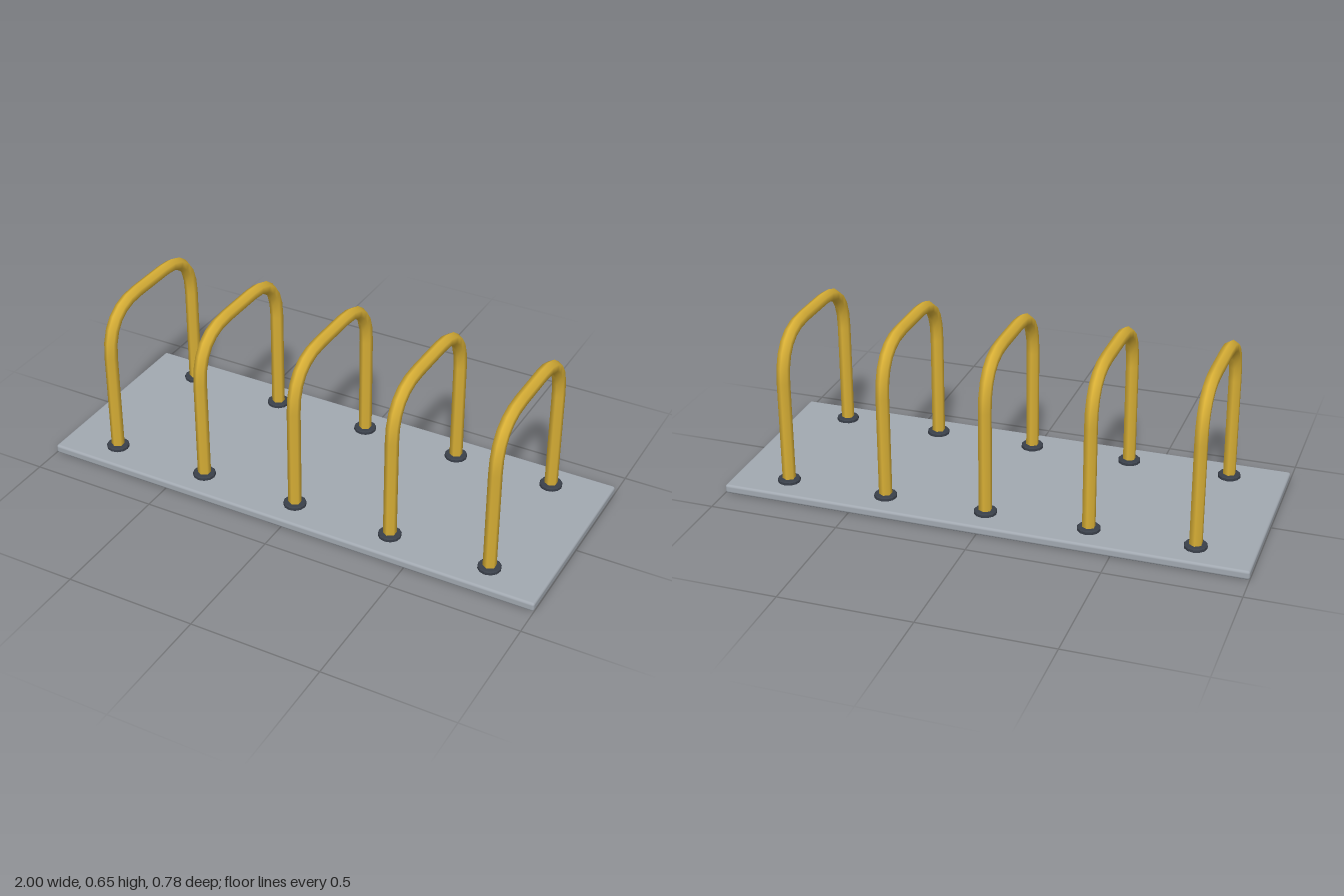
import * as THREE from 'three';
import { RoundedBoxGeometry } from 'three/addons/geometries/RoundedBoxGeometry.js';

// Upside-down U: straight legs joined by two quadratic bends, with rings exactly on the knots
class HoopCurve extends THREE.Curve {
  constructor() {
    super();
    const v = (y, z) => new THREE.Vector3(0, y, z);
    const bend = new THREE.QuadraticBezierCurve3(v(0.44, 0.28), v(0.628, 0.28), v(0.628, 0.09));
    const half = [v(0.035, 0.28)], dirs = [v(1, 0)];
    for (let i = 0; i <= 6; i++) {
      half.push(bend.getPoint(i / 6));
      dirs.push(bend.getTangent(i / 6));
    }
    this.knots = [...half, ...half.map((p) => v(p.y, -p.z)).reverse()];
    this.dirs = [...dirs, ...dirs.map((d) => v(-d.y, d.z)).reverse()];
  }
  get segments() { return this.knots.length - 1; }
  getPoint(t, target = new THREE.Vector3()) {
    const f = t * this.segments;
    const i = Math.min(Math.floor(f + 1e-6), this.segments - 1);
    return target.lerpVectors(this.knots[i], this.knots[i + 1], f - i);
  }
  getPointAt(u, target) { return this.getPoint(u, target); }
  getTangentAt(u, target = new THREE.Vector3()) {
    return target.copy(this.dirs[Math.round(u * this.segments)]);
  }
}

export function createModel() {
  const group = new THREE.Group();
  const steel = new THREE.MeshStandardMaterial({ color: 0xa2a9b1 });
  steel.name = 'grey base';
  const yellow = new THREE.MeshStandardMaterial({ color: 0xd9b036 });
  yellow.name = 'yellow paint';
  const dark = new THREE.MeshStandardMaterial({ color: 0x3a404a });
  dark.name = 'dark flange';

  const add = (name, geometry, material, x, y, z) => {
    const mesh = new THREE.Mesh(geometry, material);
    mesh.name = name;
    mesh.position.set(x, y, z);
    group.add(mesh);
  };

  // Ground plate with softened edges
  add('basePlate', new RoundedBoxGeometry(2, 0.035, 0.78, 2, 0.01), steel, 0, 0.0175, 0);

  // Six-sided tube hoop and bevelled foot flange, shared by all bays
  const curve = new HoopCurve();
  const hoop = new THREE.TubeGeometry(curve, curve.segments, 0.025, 6, false);
  const profile = [[0.043, 0], [0.043, 0.01], [0.039, 0.014], [0, 0.014]]
    .map(([r, y]) => new THREE.Vector2(r, y));
  const flange = new THREE.LatheGeometry(profile, 12).toNonIndexed();
  flange.computeVertexNormals();

  for (let i = -2; i <= 2; i++) {
    const x = i * 0.392;
    add('hoop', hoop, yellow, x, 0, 0);
    for (const z of [-0.28, 0.28]) add('footFlange', flange, dark, x, 0.035, z);
  }
  return group;
}
